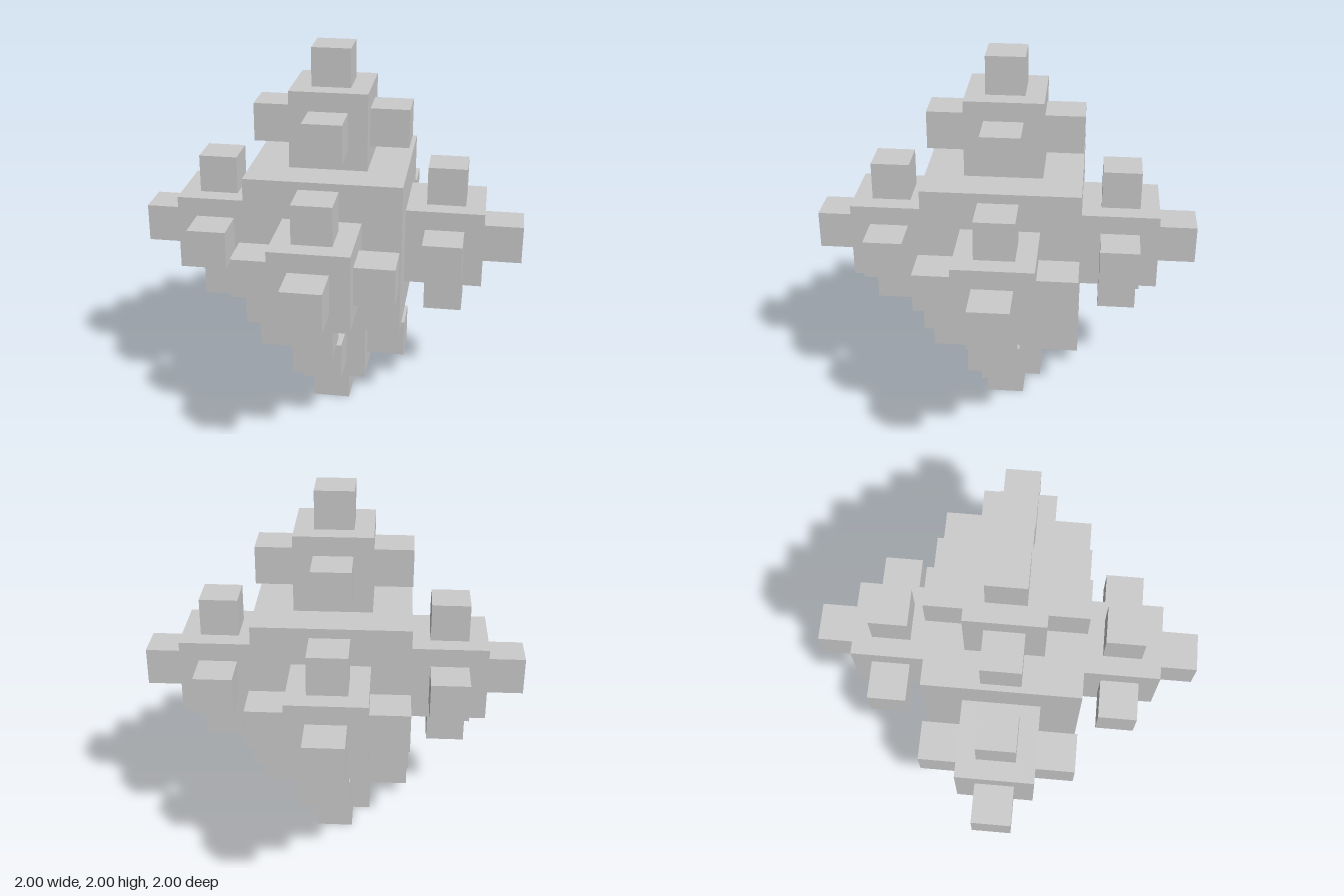
import * as THREE from 'three';

// The six face directions, with the model's own left at +x
const SIDES = [
  ['left', 1, 0, 0], ['right', -1, 0, 0],
  ['top', 0, 1, 0], ['bottom', 0, -1, 0],
  ['front', 0, 0, 1], ['back', 0, 0, -1],
].map(([name, x, y, z]) => ({ name, dir: new THREE.Vector3(x, y, z) }));

const LEVELS = ['coreCube', 'branchCube', 'tipCube'];

export function createModel() {
  const material = new THREE.MeshStandardMaterial({ color: 0xcccccc, flatShading: true });
  const model = new THREE.Group();
  model.name = 'cubeFractal';

  // Each cube carries half-size cubes on every face except the one it grows from
  function addCube(parent, level, size, position, from, label) {
    const group = new THREE.Group();
    group.name = label + 'Group';
    group.position.copy(position);
    parent.add(group);

    const cube = new THREE.Mesh(new THREE.BoxGeometry(size, size, size), material);
    cube.name = label;
    group.add(cube);

    if (level === LEVELS.length - 1) return;
    for (const { name, dir } of SIDES) {
      if (from && dir.dot(from) < -0.5) continue;
      const offset = dir.clone().multiplyScalar(size * 0.75);
      addCube(group, level + 1, size / 2, offset, dir, `${name} ${LEVELS[level + 1]}`);
    }
  }

  addCube(model, 0, 0.8, new THREE.Vector3(0, 1, 0), null, LEVELS[0]);
  return model;
}
